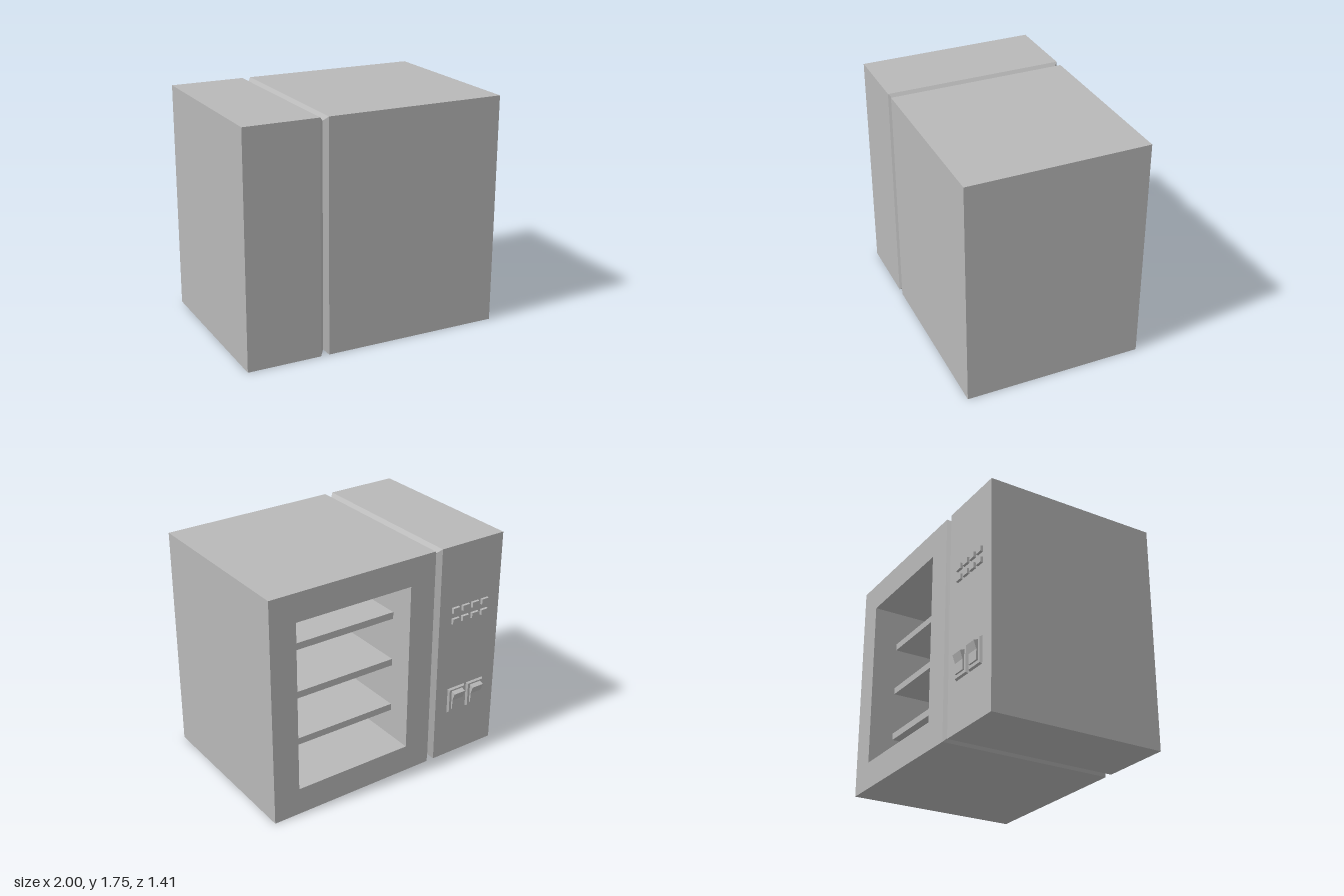
import * as THREE from 'three';

const BACK = -0.66, FRONT = 0.705, TOP = 1.755;

// Rectangular sections [x, inset] joined along x, with a cap on the first one
function loftAlongX(sections) {
  const rings = sections.map(([x, i]) => [
    [x, i, FRONT - i], [x, i, BACK + i], [x, TOP - i, BACK + i], [x, TOP - i, FRONT - i],
  ]);
  const pos = [];
  const tri = (a, b, c) => pos.push(...a, ...b, ...c);
  for (let s = 0; s < rings.length - 1; s++) {
    const a = rings[s], b = rings[s + 1];
    for (let j = 0; j < 4; j++) {
      const k = (j + 1) % 4;
      tri(a[j], a[k], b[k]);
      tri(a[j], b[k], b[j]);
    }
  }
  const [p, q, r, t] = rings[0];
  tri(p, r, q);
  tri(p, t, r);
  const g = new THREE.BufferGeometry();
  g.setAttribute('position', new THREE.Float32BufferAttribute(pos, 3));
  g.computeVertexNormals();
  return g;
}

// Box whose -z face is drawn in by an inset on every side
function taperedBox(w, h, d, inset) {
  const g = new THREE.BoxGeometry(w, h, d).toNonIndexed();
  const p = g.attributes.position;
  for (let i = 0; i < p.count; i++) {
    if (p.getZ(i) > 0) continue;
    p.setX(i, p.getX(i) - Math.sign(p.getX(i)) * inset);
    p.setY(i, p.getY(i) - Math.sign(p.getY(i)) * inset);
  }
  g.computeVertexNormals();
  return g;
}

function rect(path, x0, y0, x1, y1) {
  path.moveTo(x0, y0);
  path.lineTo(x1, y0);
  path.lineTo(x1, y1);
  path.lineTo(x0, y1);
  path.closePath();
  return path;
}

export function createModel() {
  const group = new THREE.Group();
  const grey = new THREE.MeshStandardMaterial({ color: 0xb8b8b8 });
  grey.name = 'grey';
  const add = (name, geometry, x = 0, y = 0, z = 0) => {
    const mesh = new THREE.Mesh(geometry, grey);
    mesh.name = name;
    mesh.position.set(x, y, z);
    group.add(mesh);
    return mesh;
  };

  // Control column with the V groove that runs round the cabinet
  add('controlColumn', loftAlongX([[-1, 0], [-0.435, 0], [-0.403, 0.033], [-0.37, 0]]));

  // Chamber: a frame open at the back, closed by the front wall
  const x0 = -0.162, x1 = 0.793, y0 = 0.213, y1 = 1.54, innerZ = 0.5;
  const frame = rect(new THREE.Shape(), -0.37, 0, 1, TOP);
  frame.holes.push(rect(new THREE.Path(), x0, y0, x1, y1));
  add('chamberFrame', new THREE.ExtrudeGeometry(frame, { depth: innerZ - BACK, bevelEnabled: false }), 0, 0, BACK);
  add('frontWall', new THREE.BoxGeometry(1.37, TOP, FRONT - innerZ), 0.315, TOP / 2, (FRONT + innerZ) / 2);

  // Shelves set back from the opening
  const shelfZ = -0.465, shelfT = 0.053;
  for (const top of [0.49, 0.877, 1.263]) {
    add('shelf', new THREE.BoxGeometry(x1 - x0, shelfT, innerZ - shelfZ),
      (x0 + x1) / 2, top - shelfT / 2, (innerZ + shelfZ) / 2);
  }

  // Two rows of four push buttons
  const buttonGeo = taperedBox(0.066, 0.046, 0.018, 0.003);
  for (const y of [1.157, 1.243]) {
    for (let i = 0; i < 4; i++) add('button', buttonGeo, -0.581 - i * 0.091, y, BACK - 0.009);
  }

  // Two rocker switches, each on a bevelled base
  const baseGeo = taperedBox(0.16, 0.205, 0.016, 0.009);
  const profile = new THREE.Shape([
    [-0.665, 0.41], [-0.665, 0.562], [-0.675, 0.562], [-0.709, 0.548], [-0.689, 0.488], [-0.689, 0.41],
  ].map(([z, y]) => new THREE.Vector2(z, y)));
  const rockerGeo = new THREE.ExtrudeGeometry(profile, { depth: 0.102, bevelEnabled: false });
  rockerGeo.rotateY(-Math.PI / 2).translate(0.051, 0, 0);
  for (const x of [-0.807, -0.627]) {
    add('switchBase', baseGeo, x, 0.48, BACK - 0.008);
    add('switchRocker', rockerGeo, x);
  }

  // Centre the depth
  group.children.forEach((m) => { m.position.z += 0.002; });
  return group;
}
